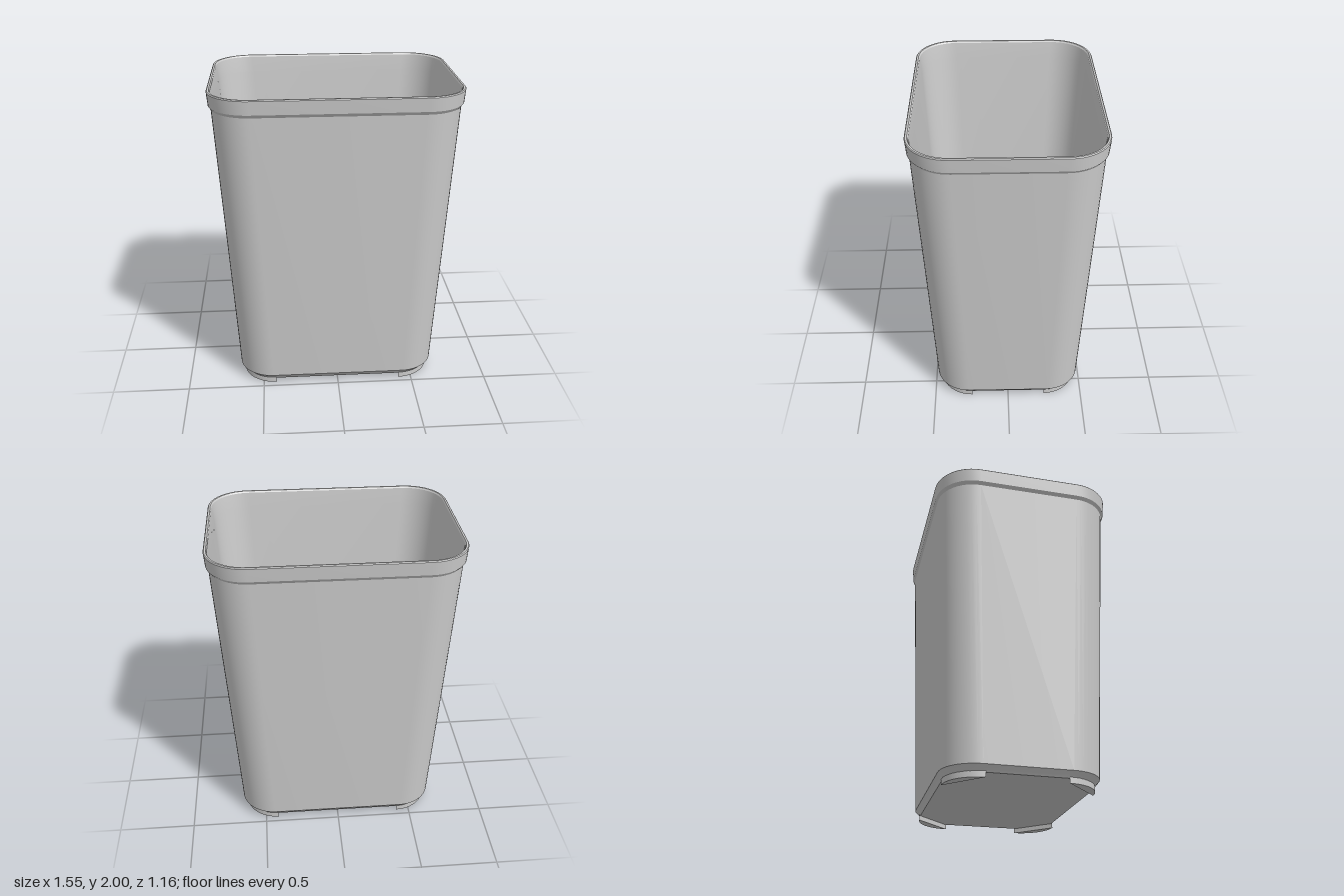
import * as THREE from 'three';
import { toCreasedNormals } from 'three/addons/utils/BufferGeometryUtils.js';

const CORNER_STEPS = 12;

// Rounded rectangle ring at height y; zero half-sizes collapse to the centre.
function ring([hx, hz, r, y]) {
  const points = [];
  for (let q = 0; q < 4; q++) {
    const cx = (q === 0 || q === 3 ? 1 : -1) * (hx - r);
    const cz = (q < 2 ? 1 : -1) * (hz - r);
    for (let i = 0; i <= CORNER_STEPS; i++) {
      const a = (q + i / CORNER_STEPS) * Math.PI / 2;
      points.push([cx + r * Math.cos(a), y, cz + r * Math.sin(a)]);
    }
  }
  return points;
}

// Skin successive rings into one surface.
function loft(sections) {
  const rings = sections.map(ring);
  const position = [];
  for (let k = 0; k < rings.length - 1; k++) {
    const a = rings[k], b = rings[k + 1], n = a.length;
    for (let i = 0; i < n; i++) {
      const j = (i + 1) % n;
      if (sections[k + 1][0] > 0) position.push(...a[i], ...b[i], ...b[j]);
      if (sections[k][0] > 0) position.push(...a[i], ...b[j], ...a[j]);
    }
  }
  const geometry = new THREE.BufferGeometry();
  geometry.setAttribute('position', new THREE.Float32BufferAttribute(position, 3));
  return toCreasedNormals(geometry, 0.4);
}

// Crescent-shaped corner foot: the corner arc closed by its chord.
function footGeometry(sx, sz) {
  const shape = new THREE.Shape();
  const steps = 10, r = 0.215;
  for (let i = 0; i <= steps; i++) {
    const a = i / steps * Math.PI / 2;
    const x = sx * (0.415 + r * Math.cos(a)), z = sz * (0.245 + r * Math.sin(a));
    if (i === 0) shape.moveTo(x, z);
    else shape.lineTo(x, z);
  }
  shape.closePath();
  const geometry = new THREE.ExtrudeGeometry(shape, { depth: 0.045, bevelEnabled: false });
  geometry.rotateX(Math.PI / 2).translate(0, 0.045, 0);
  return toCreasedNormals(geometry, 0.4);
}

export function createModel() {
  const model = new THREE.Group();
  model.name = 'wasteBin';
  const material = new THREE.MeshStandardMaterial({ color: 0xcccccc });

  const add = (name, geometry) => {
    const mesh = new THREE.Mesh(geometry, material);
    mesh.name = name;
    model.add(mesh);
  };

  // Tapered hollow shell: [half width, half depth, corner radius, height]
  add('binShell', loft([
    [0, 0, 0, 0.03],               // underside
    [0.625, 0.455, 0.21, 0.03],
    [0.635, 0.465, 0.215, 0.045],
    [0.655, 0.485, 0.22, 0.07],    // bottom chamfer
    [0.753, 0.56, 0.24, 1.89],     // outer wall
    [0.768, 0.573, 0.25, 1.91],    // step out to the rim band
    [0.775, 0.58, 0.255, 1.994],
    [0.77, 0.575, 0.25, 2],        // rim
    [0.759, 0.564, 0.24, 2],
    [0.753, 0.557, 0.235, 1.99],
    [0.74, 0.547, 0.23, 1.89],     // inner wall
    [0.645, 0.475, 0.21, 0.085],
    [0.635, 0.465, 0.205, 0.065],  // floor
    [0, 0, 0, 0.065],
  ]));

  // Four corner feet
  for (const sx of [-1, 1]) {
    for (const sz of [-1, 1]) {
      add(`${sz > 0 ? 'front' : 'back'}${sx > 0 ? 'Left' : 'Right'}Foot`, footGeometry(sx, sz));
    }
  }
  return model;
}
